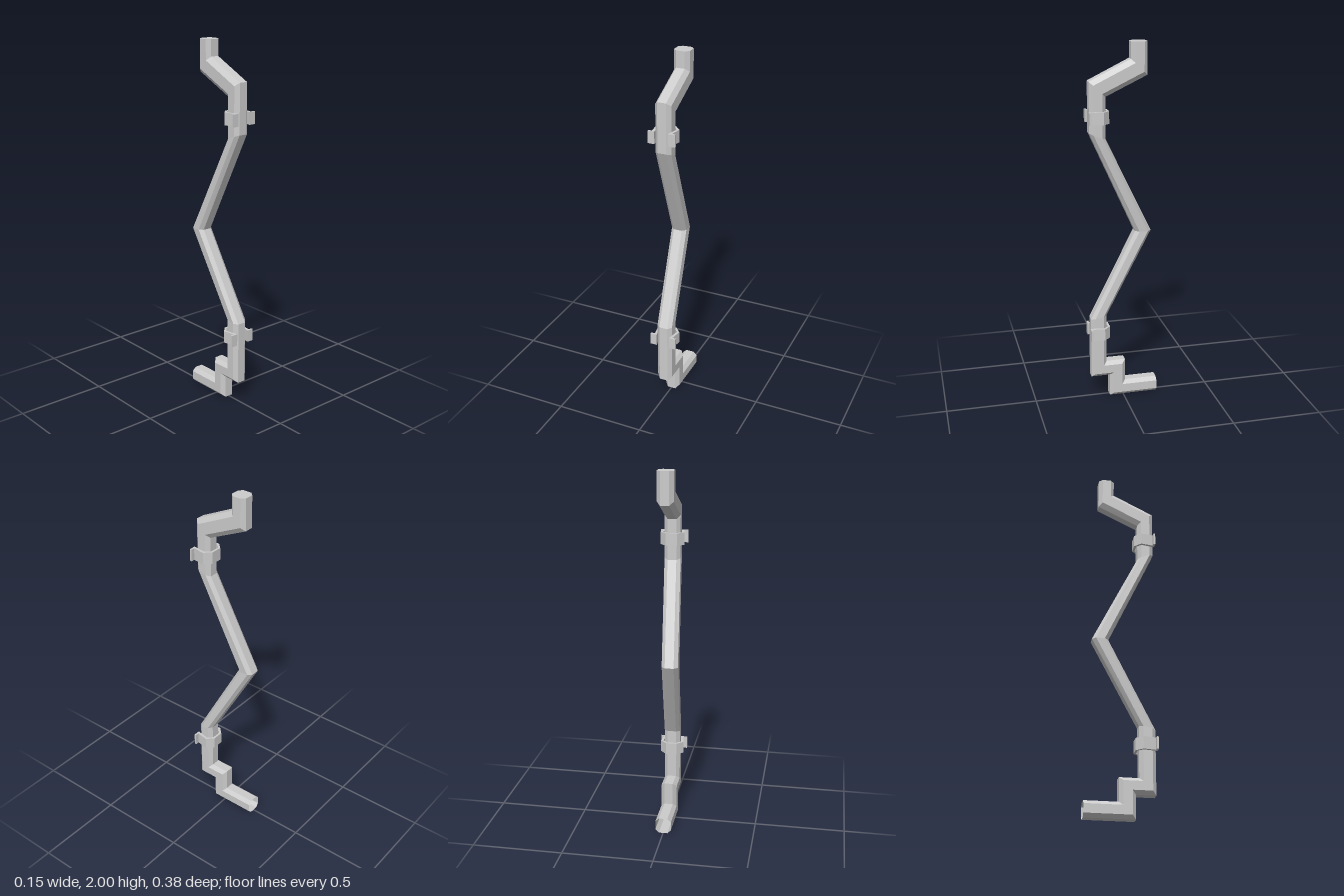
import * as THREE from 'three';

const HALF = 0.044, FLAT = 0.024;

// Chamfered-square section: [x, s], s running from back to front
const SECTION = [
  [HALF, -FLAT], [HALF, FLAT], [FLAT, HALF], [-FLAT, HALF],
  [-HALF, FLAT], [-HALF, -FLAT], [-FLAT, -HALF], [FLAT, -HALF],
];

// Mitre rings from top to bottom: centre x, y, z, then y and z change per unit of s
const RINGS = [
  [0, 2.0, -0.086, 0, 1],
  [0, 1.868, -0.086, 0.97, 1],
  [0, 1.76, 0.139, 0.93, 1],
  [0, 1.513, 0.139, 0.38, 1],
  [-0.029, 0.967, -0.119, 0, 1],
  [0, 0.488, 0.139, -0.2, 1],
  [0, 0.172, 0.139, -1, 1],
  [0, 0.172, 0.033, -1, 1],
  [0, 0.044, 0.033, -1, 1],
  [0, 0.044, -0.193, -1, 0],
];

function pipeGeometry() {
  const rings = RINGS.map(([x, y, z, ty, tz]) =>
    SECTION.map(([u, s]) => [x + u, y + s * ty, z + s * tz]));
  const pos = [];
  const n = SECTION.length;
  for (let i = 0; i < rings.length - 1; i++) {
    for (let j = 0; j < n; j++) {
      const k = (j + 1) % n;
      const a = rings[i][j], b = rings[i][k], c = rings[i + 1][k], d = rings[i + 1][j];
      pos.push(...a, ...b, ...d, ...b, ...c, ...d);
    }
  }
  // Closed top; the outlet stays open
  const top = rings[0];
  for (let j = 1; j < n - 1; j++) pos.push(...top[0], ...top[j + 1], ...top[j]);
  const geo = new THREE.BufferGeometry();
  geo.setAttribute('position', new THREE.Float32BufferAttribute(pos, 3));
  geo.computeVertexNormals();
  return geo;
}

// Strap wrapping the back of the pipe, with outward flanges at the front (x, z)
function clampGeometry(height) {
  const half = [
    [0.031, 0.076], [0.066, 0.112], [0.055, 0.179], [0.076, 0.179],
    [0.076, 0.19], [0.038, 0.19], [0.052, 0.115], [0.026, 0.088],
  ];
  const left = half.map(([x, z]) => new THREE.Vector2(x, z));
  const right = half.map(([x, z]) => new THREE.Vector2(-x, z)).reverse();
  const geo = new THREE.ExtrudeGeometry(new THREE.Shape([...left, ...right]),
    { depth: height, bevelEnabled: false });
  geo.rotateX(Math.PI / 2);
  geo.translate(0, height / 2, 0);
  return geo;
}

export function createModel() {
  const group = new THREE.Group();
  group.name = 'drainpipe';
  const material = new THREE.MeshStandardMaterial({
    color: 0xcccccc, flatShading: true, side: THREE.DoubleSide,
  });

  const pipe = new THREE.Mesh(pipeGeometry(), material);
  pipe.name = 'pipe';
  group.add(pipe);

  // Wall clamps
  const clamp = clampGeometry(0.067);
  for (const [name, y] of [['upperClamp', 1.612], ['lowerClamp', 0.395]]) {
    const mesh = new THREE.Mesh(clamp, material);
    mesh.name = name;
    mesh.position.y = y;
    group.add(mesh);
  }
  return group;
}
